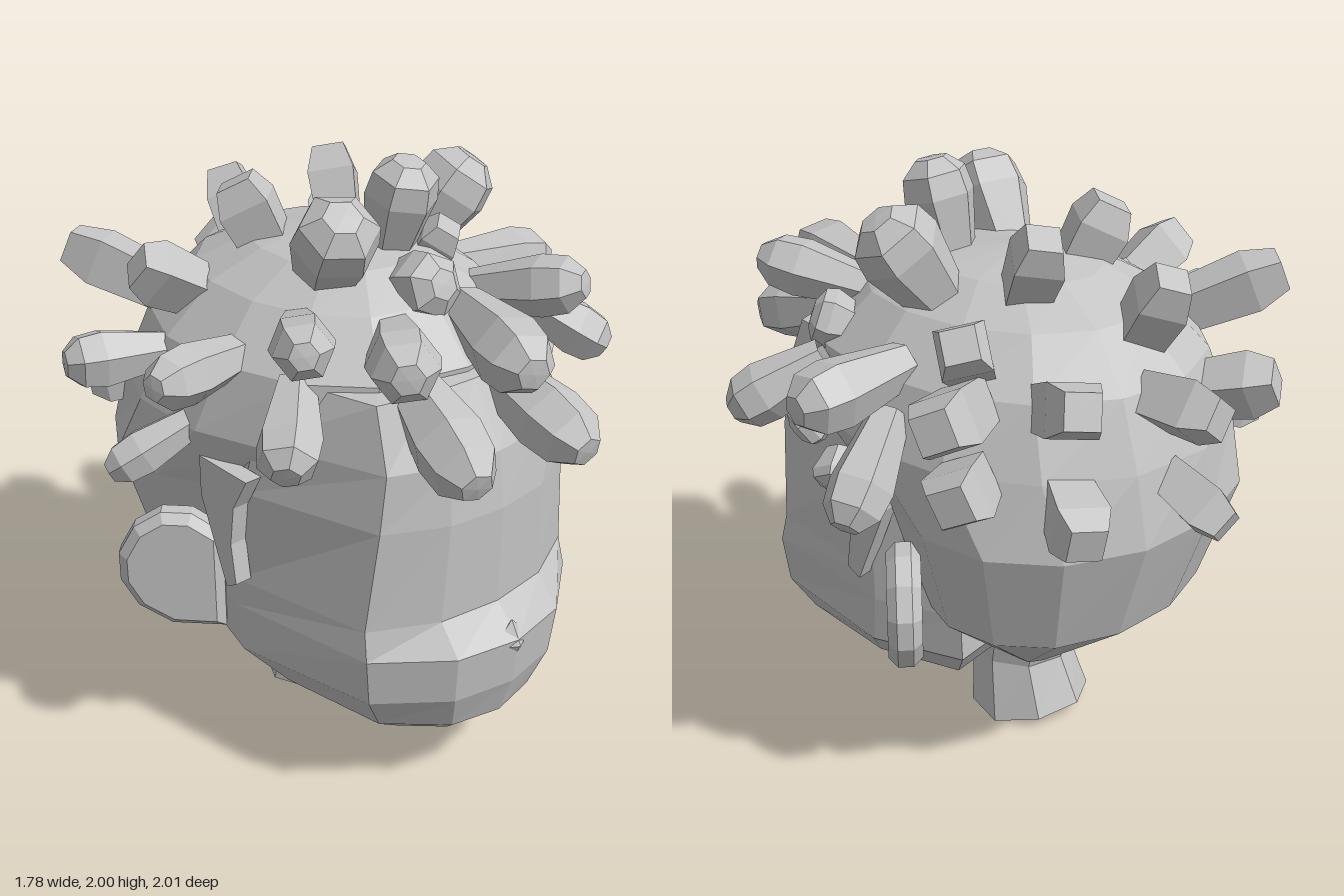
import * as THREE from 'three';

const grey = new THREE.MeshStandardMaterial({ color: 0xc4c4c4, flatShading: true, side: THREE.DoubleSide });
grey.name = 'plain grey';
const CX = -0.03; // the head sits slightly off the middle

function add(group, geometry, name) {
  const mesh = new THREE.Mesh(geometry, grey);
  mesh.name = name;
  group.add(mesh);
  return mesh;
}

// Joins closed rings (bottom to top, each turning from +z towards +x)
function loft(rings) {
  const n = rings[0].length, index = [];
  for (let r = 0; r < rings.length - 1; r++) {
    for (let i = 0; i < n; i++) {
      const a = r * n + i, b = r * n + (i + 1) % n;
      index.push(a, b, b + n, a, b + n, a + n);
    }
  }
  const g = new THREE.BufferGeometry();
  g.setAttribute('position', new THREE.Float32BufferAttribute(rings.flat(2), 3));
  g.setIndex(index);
  g.computeVertexNormals();
  return g;
}

// Skull ring: height, half width, back z, front z; fuller at the temples than at the back
function skullRing([y, w, back, front]) {
  return Array.from({ length: 14 }, (_, i) => {
    const a = (i / 14) * Math.PI * 2, s = Math.sin(a), c = Math.cos(a);
    const x = w * Math.sign(s) * Math.abs(s) ** (c > 0 ? 0.75 : 1);
    return [CX + 0.015 + x, y, (back + front) / 2 + (front - back) / 2 * c];
  });
}

// Face ring: height, middle z, front corner x and z, side x and z, back z
function faceRing([y, zMid, xc, zc, xs, zs, back]) {
  const half = [[xc * 0.5, zMid * 0.8 + zc * 0.2], [xc, zc], [xs, zs], [xs * 0.85, back]];
  const right = half.map(([x, z]) => [CX + x, y, z]);
  const left = half.map(([x, z]) => [CX - x, y, z]).reverse();
  return [[CX, y, zMid], ...right, [CX, y, back], ...left];
}

// Hair tufts: long six-sided bulbs in front, stubby four-sided blocks behind
const profile = points => points.map(p => new THREE.Vector2(...p));
const bulb = new THREE.LatheGeometry(profile([[0.62, -0.1], [1, 0.6], [0.9, 0.84], [0.45, 0.99], [0, 1]]), 6);
const block = new THREE.LatheGeometry(profile([[0.85, -0.15], [1, 0.65], [0.68, 1], [0, 1]]), 4);
function addTuft(group, shape, [x0, y0, z0, x1, y1, z1, r]) {
  const base = new THREE.Vector3(x0, y0, z0);
  const dir = new THREE.Vector3(x1, y1, z1).sub(base);
  const mesh = add(group, shape, 'hairTuft');
  mesh.position.copy(base);
  mesh.scale.set(r, dir.length(), r);
  mesh.quaternion.setFromUnitVectors(new THREE.Vector3(0, 1, 0), dir.normalize());
}

// Root x, y, z, end x, y, z, radius
const bulbTufts = [
  [0.06, 1.68, 0.12, 0.07, 1.985, 0.2, 0.12],
  [0.28, 1.62, 0.0, 0.45, 1.9, 0.1, 0.14],
  [-0.18, 1.62, 0.08, -0.27, 1.9, 0.28, 0.14],
  [0.0, 1.58, 0.2, -0.01, 1.67, 0.45, 0.115],
  [0.1, 1.55, 0.45, -0.04, 1.52, 0.86, 0.12],
  [-0.15, 1.52, 0.38, -0.37, 1.54, 0.68, 0.115],
  [0.1, 1.4, 0.55, 0.07, 1.28, 0.99, 0.115],
  [-0.2, 1.42, 0.5, -0.32, 1.27, 0.92, 0.12],
  [-0.38, 1.55, 0.2, -0.63, 1.64, 0.53, 0.1],
  [0.24, 1.56, 0.34, 0.38, 1.64, 0.68, 0.1],
  [0.35, 1.47, 0.28, 0.44, 1.52, 0.4, 0.1],
  [-0.48, 1.4, 0.3, -0.68, 1.26, 0.5, 0.105],
  [0.55, 1.42, 0.28, 0.74, 1.26, 0.48, 0.1],
  [0.53, 1.26, 0.26, 0.62, 1.18, 0.32, 0.08],
  [0.55, 1.12, 0.19, 0.63, 1.04, 0.15, 0.085],
  [0.52, 1.47, -0.02, 0.88, 1.43, 0.06, 0.115],
  [0.6, 1.32, -0.05, 0.86, 1.08, -0.1, 0.105],
  [-0.5, 1.45, 0.05, -0.88, 1.48, 0.14, 0.095],
  [-0.58, 1.38, -0.27, -0.87, 1.38, -0.37, 0.1],
  [-0.6, 1.22, -0.05, -0.86, 1.07, -0.17, 0.08],
];
const blockTufts = [
  [0.18, 1.62, 0.15, 0.21, 1.75, 0.24, 0.085],
  [0.55, 1.43, -0.32, 0.82, 1.48, -0.42, 0.12],
  [0.6, 1.22, -0.37, 0.76, 1.22, -0.43, 0.12],
  [0.47, 1.54, -0.27, 0.6, 1.65, -0.34, 0.11],
  [-0.44, 1.56, -0.27, -0.61, 1.66, -0.32, 0.11],
  [0.17, 1.65, -0.25, 0.22, 1.87, -0.36, 0.11],
  [-0.16, 1.65, -0.22, -0.23, 1.86, -0.3, 0.12],
  [0.0, 1.52, -0.55, 0.02, 1.76, -0.69, 0.11],
  [0.11, 1.4, -0.7, 0.13, 1.41, -0.94, 0.11],
  [0.11, 1.15, -0.78, 0.12, 1.06, -0.98, 0.1],
  [-0.18, 1.33, -0.7, -0.25, 1.39, -0.92, 0.11],
  [0.38, 1.42, -0.52, 0.54, 1.53, -0.73, 0.115],
  [0.42, 1.16, -0.6, 0.56, 1.12, -0.77, 0.115],
  [-0.42, 1.5, -0.5, -0.6, 1.62, -0.73, 0.11],
  [-0.45, 1.18, -0.56, -0.58, 1.15, -0.69, 0.115],
];

export function createModel() {
  const model = new THREE.Group();
  model.name = 'head';

  // Hair-covered skull
  add(model, loft([
    [0.32, 0, -0.3, -0.3], [0.33, 0.22, -0.37, -0.2], [0.61, 0.55, -0.72, 0.1], [0.98, 0.655, -0.845, 0.2],
    [1.22, 0.65, -0.815, 0.54], [1.44, 0.575, -0.73, 0.57], [1.6, 0.42, -0.57, 0.42],
    [1.69, 0.26, -0.38, 0.28], [1.745, 0, -0.1, -0.1],
  ].map(skullRing)), 'skull');

  // Face with the muzzle ledge and rounded jaw
  add(model, loft([
    [0.145, 0.52, 0, 0.52, 0, 0.52, 0.52],
    [0.165, 0.62, 0.16, 0.54, 0.17, 0.3, 0.22],
    [0.20, 0.69, 0.24, 0.55, 0.27, 0.25, 0.02],
    [0.28, 0.78, 0.35, 0.58, 0.42, 0.2, -0.1],
    [0.42, 0.83, 0.43, 0.62, 0.54, 0.12, -0.2],
    [0.59, 0.85, 0.45, 0.63, 0.55, 0.1, -0.2],
    [0.69, 0.75, 0.44, 0.61, 0.55, 0.1, -0.2],
    [1.03, 0.755, 0.4, 0.63, 0.55, 0.15, -0.2],
    [1.22, 0.73, 0.375, 0.63, 0.53, 0.2, -0.2],
    [1.42, 0.61, 0.355, 0.56, 0.44, 0.25, -0.2],
    [1.45, 0.2, 0, 0.2, 0, 0.2, 0.2],
  ].map(faceRing)), 'face');

  // Small faceted nose
  const nose = add(model, new THREE.OctahedronGeometry(1), 'nose');
  nose.scale.set(0.08, 0.08, 0.045);
  nose.position.set(CX, 0.57, 0.815);

  // Neck, pinched in the middle, its cut rising at the back
  const neckGeo = new THREE.CylinderGeometry(0.19, 0.21, 0.44, 8, 2);
  const p = neckGeo.attributes.position;
  for (let i = 0; i < p.count; i++) {
    const x = p.getX(i), y = p.getY(i) + 0.22, z = p.getZ(i);
    const middle = y > 0.1 && y < 0.3;
    const pinch = middle ? 0.87 : 1;
    const lift = y < 0.1 && z < -0.05 ? -z * 0.25 : 0;
    p.setXYZ(i, CX + x * pinch, y + lift, z * pinch - (middle ? 0.105 : 0.145));
  }
  add(model, neckGeo, 'neck');

  // Ears: half-round plates swept backwards, and sideburns: flat tapering strips
  const earShape = new THREE.Shape(profile([
    [0, 0.46], [0.18, 0.47], [0.29, 0.54], [0.345, 0.64], [0.345, 0.74], [0.29, 0.84], [0.2, 0.895], [0.1, 0.89], [0, 0.82],
  ]));
  const earGeo = new THREE.ExtrudeGeometry(earShape, {
    depth: 0.05, bevelThickness: 0.03, bevelSize: 0.03, bevelOffset: -0.03, bevelSegments: 1,
  });
  const burnShape = new THREE.Shape(profile([
    [0, 1.12], [0, 0.98], [0.12, 0.69], [0.17, 0.72], [0.15, 0.86], [0.17, 1.0], [0.24, 1.12],
  ]));
  const burnGeo = new THREE.ExtrudeGeometry(burnShape, { depth: 0.06, bevelEnabled: false });
  for (const [side, word] of [[1, 'left'], [-1, 'right']]) {
    const holder = new THREE.Group();
    holder.name = word + 'Side';
    holder.position.x = CX;
    holder.scale.x = side;
    const ear = add(holder, earGeo, word + 'Ear');
    ear.rotation.y = 0.72;
    ear.position.set(0.5, 0, -0.02);
    const burn = add(holder, burnGeo, word + 'Sideburn');
    burn.rotation.y = -Math.PI / 2;
    burn.position.x = 0.6;
    model.add(holder);
  }

  // Hair tufts
  const hair = new THREE.Group();
  hair.name = 'hair';
  for (const t of bulbTufts) addTuft(hair, bulb, t);
  for (const t of blockTufts) addTuft(hair, block, t);
  model.add(hair);

  return model;
}
